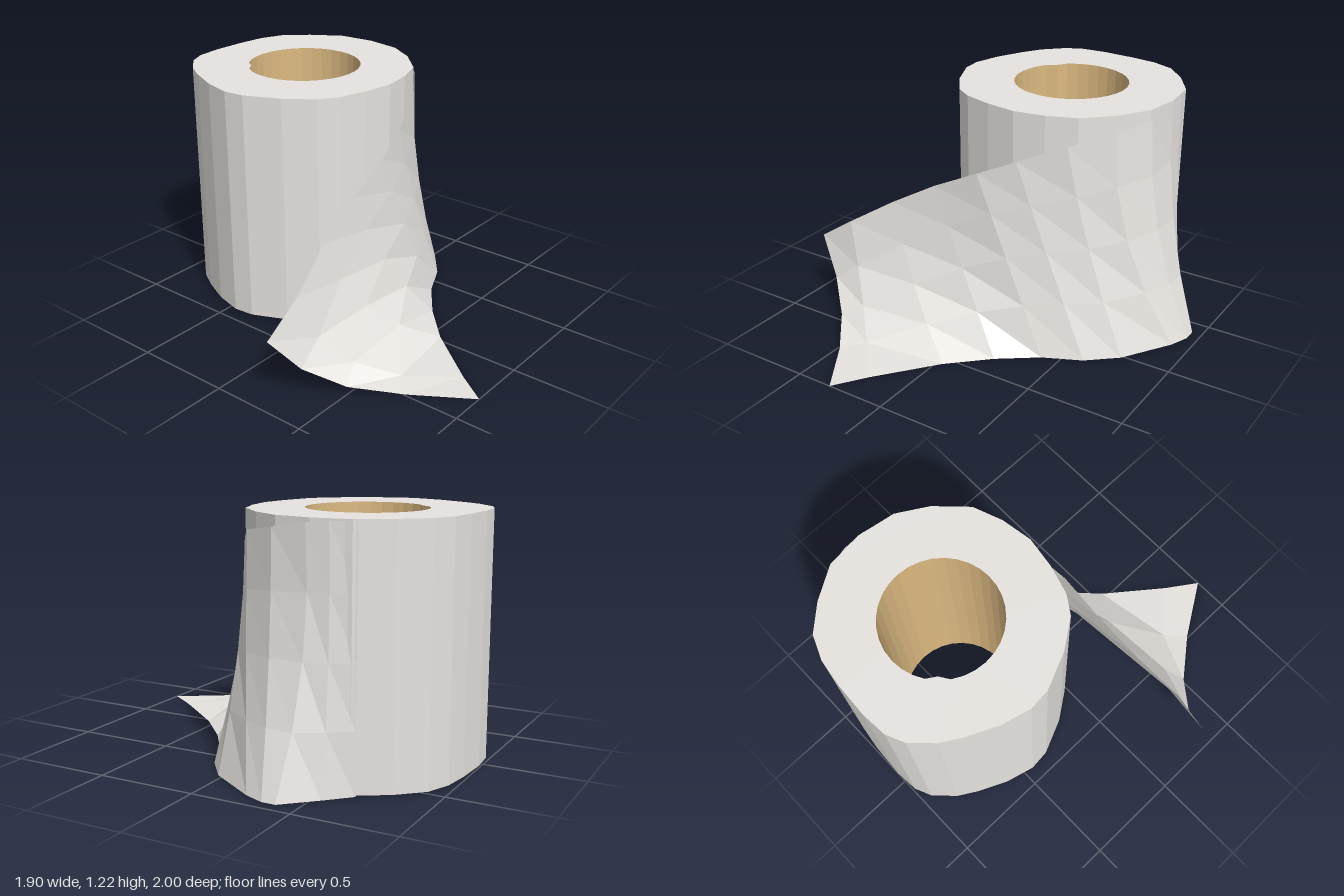
import * as THREE from 'three';

const CX = 0.16, CZ = -0.45, HEIGHT = 1.21;

// Extrude a plan drawn in (x, -z) upwards, standing just above the ground
function extrudeUp(shape) {
  const g = new THREE.ExtrudeGeometry(shape, { depth: HEIGHT, bevelEnabled: false, curveSegments: 16 });
  g.rotateX(-Math.PI / 2);
  g.translate(0, 0.01, 0);
  return g;
}

// Closed ring of points around the roll axis; radius is a function of the step
function ring(count, radius) {
  const pts = [];
  for (let i = 0; i < count; i++) {
    const a = (i / count) * Math.PI * 2, r = radius(i);
    pts.push(new THREE.Vector2(CX + r * Math.cos(a), -CZ + r * Math.sin(a)));
  }
  return pts;
}

// Loose sheet: each column is [top], [middle], [bottom], rows follow a parabola
function sheetGeometry(columns, rows) {
  const pos = [], index = [];
  columns.forEach(([a, b, c]) => {
    for (let j = 0; j <= rows; j++) {
      const t = j / rows;
      const wa = (1 - t) * (1 - 2 * t), wb = 4 * t * (1 - t), wc = t * (2 * t - 1);
      const p = a.map((v, k) => wa * v + wb * b[k] + wc * c[k]);
      pos.push(p[0], Math.max(p[1], 0.003 * (1 - t)), p[2]);
    }
  });
  const n = rows + 1;
  for (let i = 0; i < columns.length - 1; i++) {
    for (let j = 0; j < rows; j++) {
      const p = i * n + j, q = p + n;
      index.push(p, q, p + 1, q, q + 1, p + 1);
    }
  }
  const g = new THREE.BufferGeometry();
  g.setAttribute('position', new THREE.Float32BufferAttribute(pos, 3));
  g.setIndex(index);
  const flat = g.toNonIndexed();
  flat.computeVertexNormals();
  return flat;
}

export function createModel() {
  const group = new THREE.Group();
  const paper = new THREE.MeshStandardMaterial({ color: 0xe6e3df, side: THREE.DoubleSide });
  paper.name = 'paper';
  const cardboard = new THREE.MeshStandardMaterial({ color: 0xdcb981 });
  cardboard.name = 'cardboard';
  const add = (name, geometry, material) => {
    const mesh = new THREE.Mesh(geometry, material);
    mesh.name = name;
    group.add(mesh);
  };

  // Wound paper, slightly out of round
  const outline = [
    [-0.43, -0.45], [-0.42, -0.34], [-0.34, -0.16], [-0.24, -0.02], [-0.15, 0.04], [0, 0.085],
    [0.16, 0.11], [0.32, 0.085], [0.47, 0.03], [0.61, -0.11], [0.70, -0.26], [0.73, -0.45],
    [0.71, -0.64], [0.61, -0.8], [0.5, -0.92], [0.38, -0.97], [0.24, -0.99], [0.06, -1],
    [-0.07, -0.99], [-0.16, -0.95], [-0.26, -0.85], [-0.32, -0.75], [-0.39, -0.6],
  ].map(([x, z]) => new THREE.Vector2(x, -z));
  const roll = new THREE.Shape(outline);
  roll.holes.push(new THREE.Path(ring(32, () => 0.31)));
  add('paperRoll', extrudeUp(roll), paper);

  // Cardboard core with a small lap on the inside
  const core = new THREE.Shape(ring(32, () => 0.31));
  core.holes.push(new THREE.Path(ring(32, (i) => (i === 12 ? 0.277 : 0.295))));
  add('core', extrudeUp(core), [paper, cardboard]);

  // Unrolled sheet, from where it leaves the roll to its free end
  const columns = [
    [[0.70, 1.21, -0.66], [0.70, 0.60, -0.66], [0.70, 0.005, -0.66]],
    [[0.73, 1.21, -0.54], [0.75, 0.60, -0.55], [0.81, 0.005, -0.55]],
    [[0.738, 1.20, -0.43], [0.78, 0.60, -0.44], [0.95, 0.005, -0.40]],
    [[0.715, 1.17, -0.25], [0.775, 0.60, -0.27], [0.95, 0.005, -0.33]],
    [[0.62, 1.14, -0.07], [0.69, 0.59, -0.10], [0.91, 0.005, -0.23]],
    [[0.43, 1.08, 0.06], [0.55, 0.56, 0.03], [0.75, 0.005, 0.02]],
    [[0.20, 0.98, 0.145], [0.37, 0.53, 0.13], [0.60, 0, 0.14]],
    [[0, 0.89, 0.19], [0.18, 0.48, 0.20], [0.41, 0, 0.23]],
    [[-0.25, 0.77, 0.20], [-0.05, 0.38, 0.25], [0.22, 0, 0.37]],
    [[-0.50, 0.63, 0.23], [-0.30, 0.25, 0.33], [0.03, 0, 0.55]],
    [[-0.75, 0.475, 0.28], [-0.55, 0.10, 0.45], [-0.20, 0, 0.84]],
    [[-0.955, 0.34, 0.28], [-0.66, 0.04, 0.50], [-0.31, 0, 1.0]],
  ];
  add('looseSheet', sheetGeometry(columns, 4), paper);

  return group;
}
